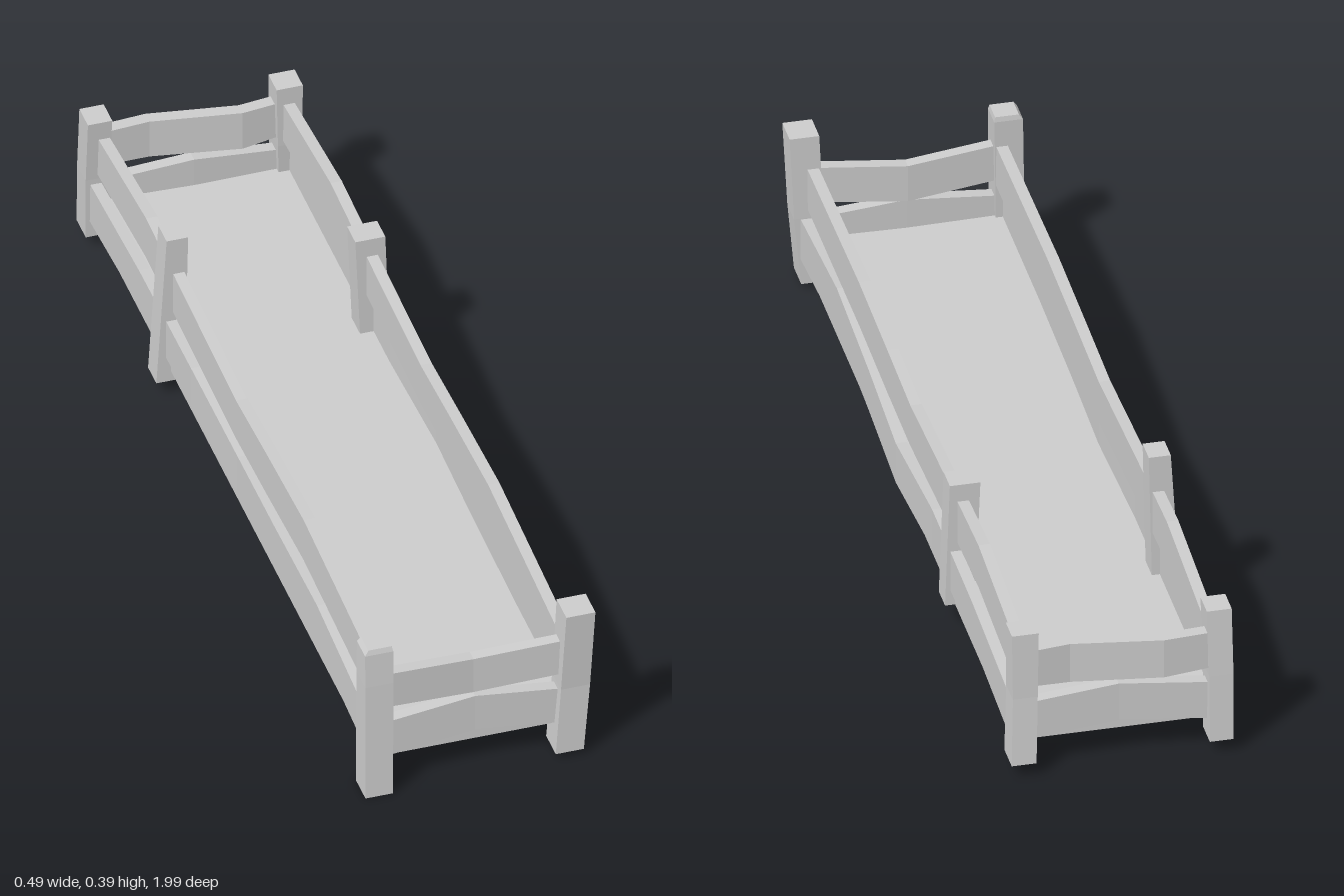
import * as THREE from 'three';

const material = new THREE.MeshStandardMaterial({ color: 0xcccccc, flatShading: true });
const shellMaterial = new THREE.MeshStandardMaterial({
  color: 0xcccccc, flatShading: true, side: THREE.DoubleSide,
});

// Solid lofted through four-cornered rings, closed at both ends
function loft(name, rings) {
  const pos = rings.flat(2), index = [];
  for (let i = 0; i < rings.length - 1; i++) {
    for (let k = 0; k < 4; k++) {
      const a = i * 4 + k, b = i * 4 + (k + 1) % 4;
      index.push(a, b, b + 4, a, b + 4, a + 4);
    }
  }
  const e = (rings.length - 1) * 4;
  index.push(0, 2, 1, 0, 3, 2, e, e + 1, e + 2, e, e + 2, e + 3);
  const indexed = new THREE.BufferGeometry();
  indexed.setAttribute('position', new THREE.Float32BufferAttribute(pos, 3));
  indexed.setIndex(index);
  const geometry = indexed.toNonIndexed();
  geometry.computeVertexNormals();
  const mesh = new THREE.Mesh(geometry, material);
  mesh.name = name;
  return mesh;
}

// Crooked post: sections [x, y, z, width, depth] from bottom to top
function post(name, sections) {
  return loft(name, sections.map(([x, y, z, w, d]) => [
    [x - w / 2, y, z + d / 2], [x + w / 2, y, z + d / 2],
    [x + w / 2, y, z - d / 2], [x - w / 2, y, z - d / 2],
  ]));
}

// Wavy board running along z: stations [z, x, bottom, top] with rising z
function sideBoard(name, thickness, stations) {
  const h = thickness / 2;
  return loft(name, stations.map(([z, x, b, t]) => [
    [x - h, b, z], [x + h, b, z], [x + h, t, z], [x - h, t, z],
  ]));
}

// Board running along x: stations [x, z, bottom, top] with rising x
function endBoard(name, thickness, stations) {
  const h = thickness / 2;
  return loft(name, stations.map(([x, z, b, t]) => [
    [x, b, z + h], [x, b, z - h], [x, t, z - h], [x, t, z + h],
  ]));
}

export function createModel() {
  const group = new THREE.Group();

  // Six leaning posts
  group.add(
    post('frontRightPost', [
      [-0.217, 0, 0.965, 0.059, 0.065], [-0.212, 0.27, 0.952, 0.06, 0.06],
      [-0.21, 0.345, 0.947, 0.06, 0.056], [-0.207, 0.356, 0.946, 0.05, 0.05]]),
    post('frontLeftPost', [
      [0.193, 0.012, 0.955, 0.06, 0.065], [0.207, 0.17, 0.952, 0.062, 0.06],
      [0.215, 0.36, 0.96, 0.062, 0.066]]),
    post('middleRightPost', [
      [-0.215, 0.035, -0.445, 0.06, 0.056], [-0.2, 0.393, -0.445, 0.046, 0.056]]),
    post('middleLeftPost', [
      [0.204, 0.06, -0.385, 0.062, 0.056], [0.193, 0.346, -0.385, 0.064, 0.056]]),
    post('backRightPost', [
      [-0.207, 0.03, -0.965, 0.05, 0.062], [-0.209, 0.18, -0.957, 0.05, 0.058],
      [-0.207, 0.33, -0.945, 0.052, 0.058]]),
    post('backLeftPost', [
      [0.206, 0.03, -0.962, 0.052, 0.066], [0.2, 0.18, -0.95, 0.052, 0.06],
      [0.198, 0.327, -0.944, 0.056, 0.056]]),
  );

  // Long side boards, the lower ones set slightly further out
  const waves = {
    upper: [[-0.94, 0, 0.19, 0.283], [-0.6, 0, 0.216, 0.316], [-0.35, 0, 0.205, 0.303],
      [0, 0.002, 0.188, 0.285], [0.2, 0.003, 0.193, 0.295], [0.45, 0.004, 0.203, 0.305],
      [0.94, 0, 0.189, 0.283]],
    lower: [[-0.94, 0, 0.07, 0.166], [-0.6, 0, 0.095, 0.186], [-0.25, 0, 0.096, 0.19],
      [0.04, 0.008, 0.078, 0.172], [0.3, 0.003, 0.09, 0.186], [0.6, 0, 0.102, 0.2],
      [0.94, 0, 0.07, 0.166]],
  };
  const offsets = { upper: 0.197, lower: 0.212 };
  for (const [level, wave] of Object.entries(waves)) {
    for (const [side, sign] of [['Left', 1], ['Right', -1]]) {
      group.add(sideBoard(`${level}${side}Board`, 0.024,
        wave.map(([z, dx, b, t]) => [z, sign * offsets[level] + dx, b, t])));
    }
  }

  // Short boards at the two ends
  group.add(
    endBoard('upperFrontBoard', 0.026,
      [[-0.2, 0.95, 0.196, 0.279], [0, 0.935, 0.18, 0.264], [0.2, 0.95, 0.196, 0.279]]),
    endBoard('lowerFrontBoard', 0.026,
      [[-0.2, 0.95, 0.07, 0.156], [0, 0.945, 0.092, 0.177], [0.2, 0.95, 0.07, 0.156]]),
    endBoard('upperBackBoard', 0.028,
      [[-0.2, -0.96, 0.196, 0.279], [-0.09, -0.968, 0.19, 0.279],
        [0.1, -0.938, 0.188, 0.279], [0.2, -0.95, 0.196, 0.279]]),
    endBoard('lowerBackBoard', 0.026,
      [[-0.2, -0.957, 0.07, 0.156], [0, -0.948, 0.088, 0.175], [0.2, -0.95, 0.07, 0.156]]),
  );

  // Soil bed: a shallow shell with skirts and an open underside
  const shell = new THREE.BoxGeometry(0.428, 0.05, 1.89);
  const faces = Array.from(shell.index.array);
  faces.splice(18, 6);
  shell.setIndex(faces);
  shell.clearGroups();
  const soil = new THREE.Mesh(shell, shellMaterial);
  soil.name = 'soilBed';
  soil.position.y = 0.085;
  group.add(soil);

  return group;
}
